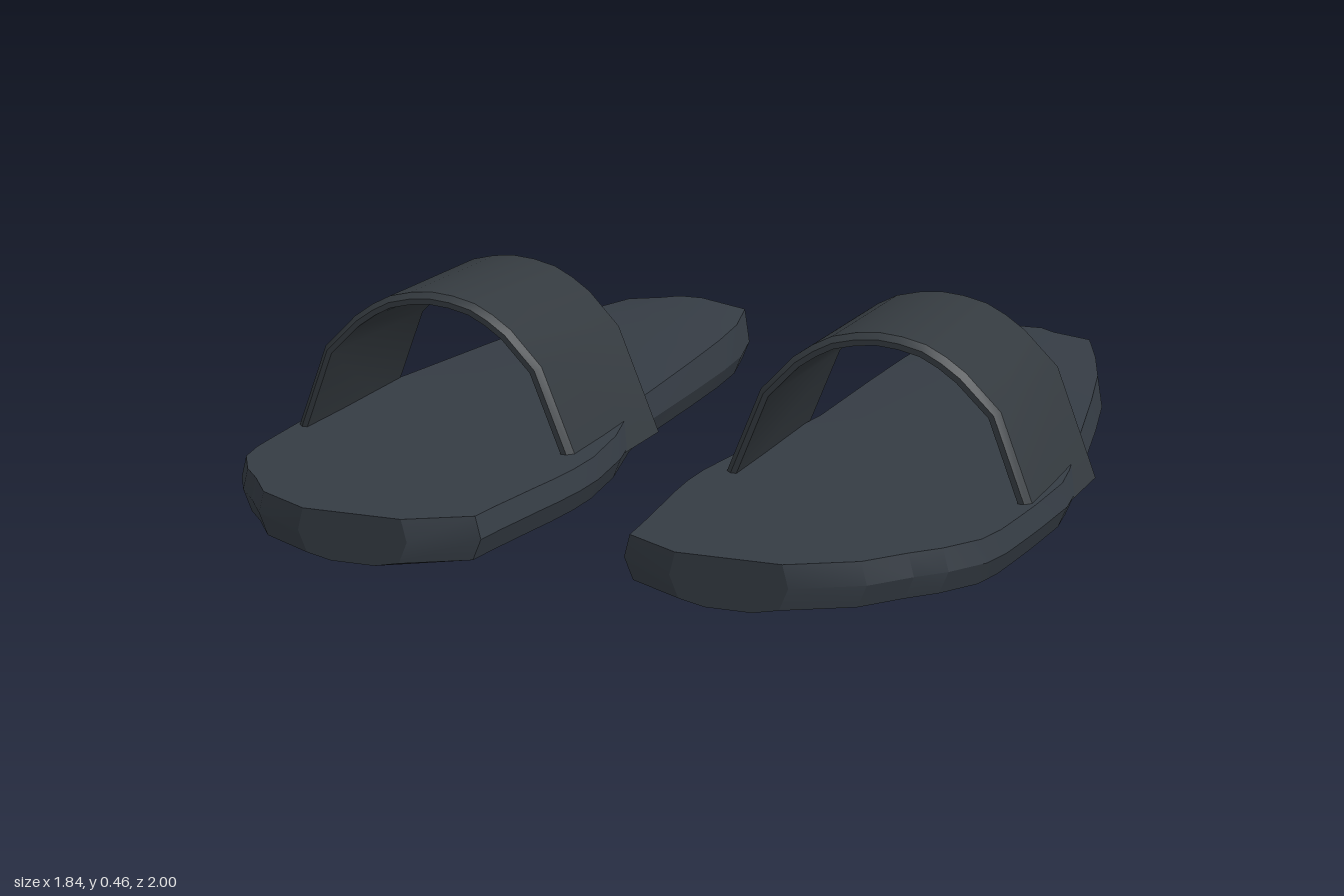
import * as THREE from 'three';
import { toCreasedNormals } from 'three/addons/utils/BufferGeometryUtils.js';

const soleMaterial = new THREE.MeshStandardMaterial({ color: 0x353c44 });
soleMaterial.name = 'slate sole';
const strapMaterial = new THREE.MeshStandardMaterial({ color: 0x343a3f });
strapMaterial.name = 'charcoal strap';

// Joins closed rings of points into a capped solid; side -1 mirrors it in x.
function loft(rings, side, crease) {
  const n = rings[0].length, last = (rings.length - 1) * n, index = [];
  const tri = (a, b, c) => (side > 0 ? index.push(a, b, c) : index.push(a, c, b));
  for (let i = 0; i < rings.length - 1; i++) {
    for (let j = 0; j < n; j++) {
      const a = i * n + j, b = i * n + (j + 1) % n;
      tri(a, b, b + n);
      tri(a, b + n, a + n);
    }
  }
  for (let j = 1; j < n - 1; j++) {
    tri(0, j + 1, j);
    tri(last, last + j, last + j + 1);
  }
  const points = rings.flat().map(([x, y, z]) => [x * side, y, z]);
  const geometry = new THREE.BufferGeometry();
  geometry.setAttribute('position', new THREE.Float32BufferAttribute(points.flat(), 3));
  geometry.setIndex(index);
  return toCreasedNormals(geometry, crease);
}

// Sole outline from heel to toe: z, inner x, outer x
const outline = [
  [-1, 0.39, 0.55], [-0.97, 0.29, 0.65], [-0.81, 0.25, 0.71], [-0.65, 0.235, 0.76],
  [-0.43, 0.225, 0.805], [-0.1, 0.215, 0.865], [0.0, 0.2, 0.885], [0.12, 0.17, 0.908],
  [0.22, 0.145, 0.92], [0.4, 0.122, 0.912], [0.5, 0.122, 0.905], [0.6, 0.13, 0.897],
  [0.68, 0.14, 0.88], [0.77, 0.15, 0.825], [0.83, 0.157, 0.77], [0.92, 0.165, 0.7],
  [1, 0.3, 0.56],
];

// Cross-section with bulging sides, a slightly rounded base and a raised heel
function soleRing([z, inner, outer]) {
  const rise = Math.max(0, (0.3 - z) / 1.3);
  const top = 0.11 + 0.05 * rise, edge = top - 0.012 * rise;
  const w = outer - inner;
  return [
    [inner + 0.02, 0.012, z], [inner + 0.3 * w, 0, z],
    [outer - 0.3 * w, 0, z], [outer - 0.02, 0.012, z],
    [outer, 0.06, z], [outer - 0.013, edge, z],
    [outer - 0.3 * w, top, z], [inner + 0.3 * w, top, z],
    [inner + 0.013, edge, z], [inner, 0.06, z],
  ];
}

// Strap arch (x, y) and its bevelled section (z, offset from the outer face)
const arch = [
  [0.163, 0.055], [0.265, 0.305], [0.34, 0.384], [0.385, 0.415], [0.43, 0.438],
  [0.485, 0.451], [0.538, 0.456], [0.59, 0.451], [0.645, 0.438], [0.69, 0.415],
  [0.735, 0.384], [0.815, 0.305], [0.91, 0.055],
];
const band = [
  [0.405, -0.026], [-0.062, -0.026], [-0.062, -0.013],
  [-0.047, 0], [0.39, 0], [0.405, -0.013],
];

function strapRing([x, y], i) {
  const a = arch[Math.max(i - 1, 0)], b = arch[Math.min(i + 1, arch.length - 1)];
  const dx = b[0] - a[0], dy = b[1] - a[1], len = Math.hypot(dx, dy);
  return band.map(([z, d]) => [x - (dy / len) * d, y + (dx / len) * d, z]);
}

export function createModel() {
  const model = new THREE.Group();
  model.name = 'slide sandals';
  for (const side of [1, -1]) {
    const sandal = new THREE.Group();
    sandal.name = side > 0 ? 'leftSandal' : 'rightSandal';
    const sole = new THREE.Mesh(loft(outline.map(soleRing), side, 0.5), soleMaterial);
    sole.name = 'sole';
    const strap = new THREE.Mesh(loft(arch.map(strapRing), side, 0.6), strapMaterial);
    strap.name = 'strap';
    sandal.add(sole, strap);
    model.add(sandal);
  }
  return model;
}
